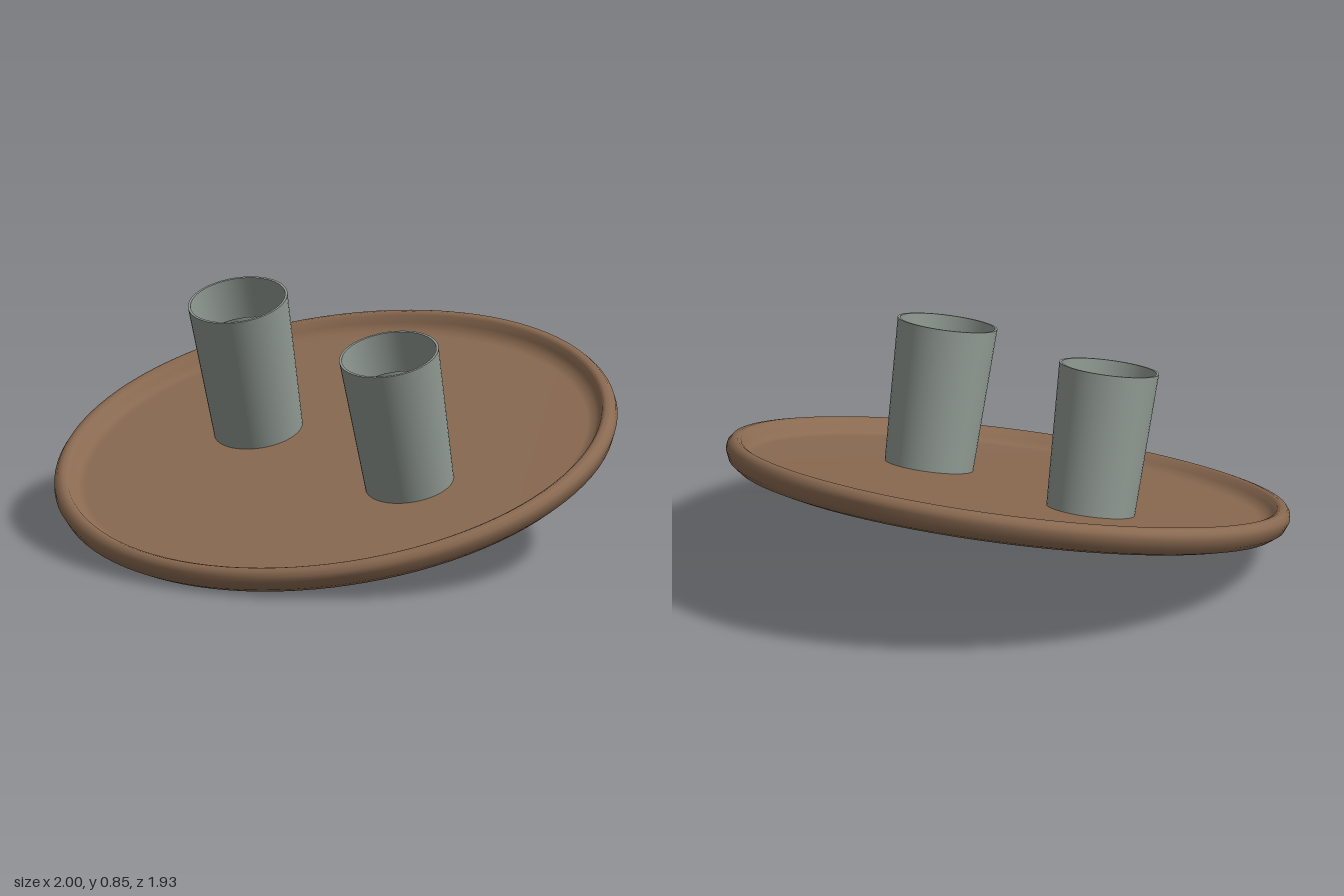
import * as THREE from 'three';

const wood = new THREE.MeshStandardMaterial({ color: 0x8a6a51 });
wood.name = 'brown wood';
const grey = new THREE.MeshStandardMaterial({ color: 0x8f9891 });
grey.name = 'grey glass';

// Surface of revolution from [radius, height] pairs; a repeated pair makes a sharp edge
function turned(name, profile, material, segments) {
  const points = profile.map(([r, y]) => new THREE.Vector2(r, y));
  const mesh = new THREE.Mesh(new THREE.LatheGeometry(points, segments), material);
  mesh.name = name;
  return mesh;
}

function createTumbler(name, x, z) {
  const tumbler = new THREE.Group();
  tumbler.name = name;
  // Thin tapered cup, open at the top
  tumbler.add(turned('cup', [
    [0, 0], [0.157, 0], [0.157, 0],
    [0.177, 0.51], [0.177, 0.51], [0.168, 0.51], [0.168, 0.51],
    [0.15, 0.02], [0.15, 0.02], [0, 0.02],
  ], grey, 48));
  // Contents, slightly narrower than the cup, with a softly shaded top
  tumbler.add(turned('drink', [
    [0.146, 0.02], [0.148, 0.365], [0, 0.365],
  ], grey, 48));
  tumbler.position.set(x, -0.015, z);
  return tumbler;
}

export function createModel() {
  const model = new THREE.Group();
  model.name = 'tiltedTray';

  // Round tray with a rounded raised rim
  model.add(turned('tray', [
    [0, -0.072], [0.86, -0.072], [0.91, -0.07], [0.955, -0.058], [0.985, -0.036],
    [1.0, 0], [0.997, 0.02], [0.985, 0.036], [0.965, 0.041], [0.95, 0.034],
    [0.938, 0.012], [0.92, -0.008], [0.89, -0.015], [0, -0.015],
  ], wood, 96));

  // Two tumblers standing on the tray
  model.add(createTumbler('rightTumbler', -0.365, -0.143));
  model.add(createTumbler('leftTumbler', 0.357, 0.17));

  // Tipped forward and slightly to one side
  model.rotation.set(THREE.MathUtils.degToRad(15), 0, THREE.MathUtils.degToRad(2.3));
  model.position.y = 0.305;

  const root = new THREE.Group();
  root.name = 'trayWithTumblers';
  root.add(model);
  return root;
}
